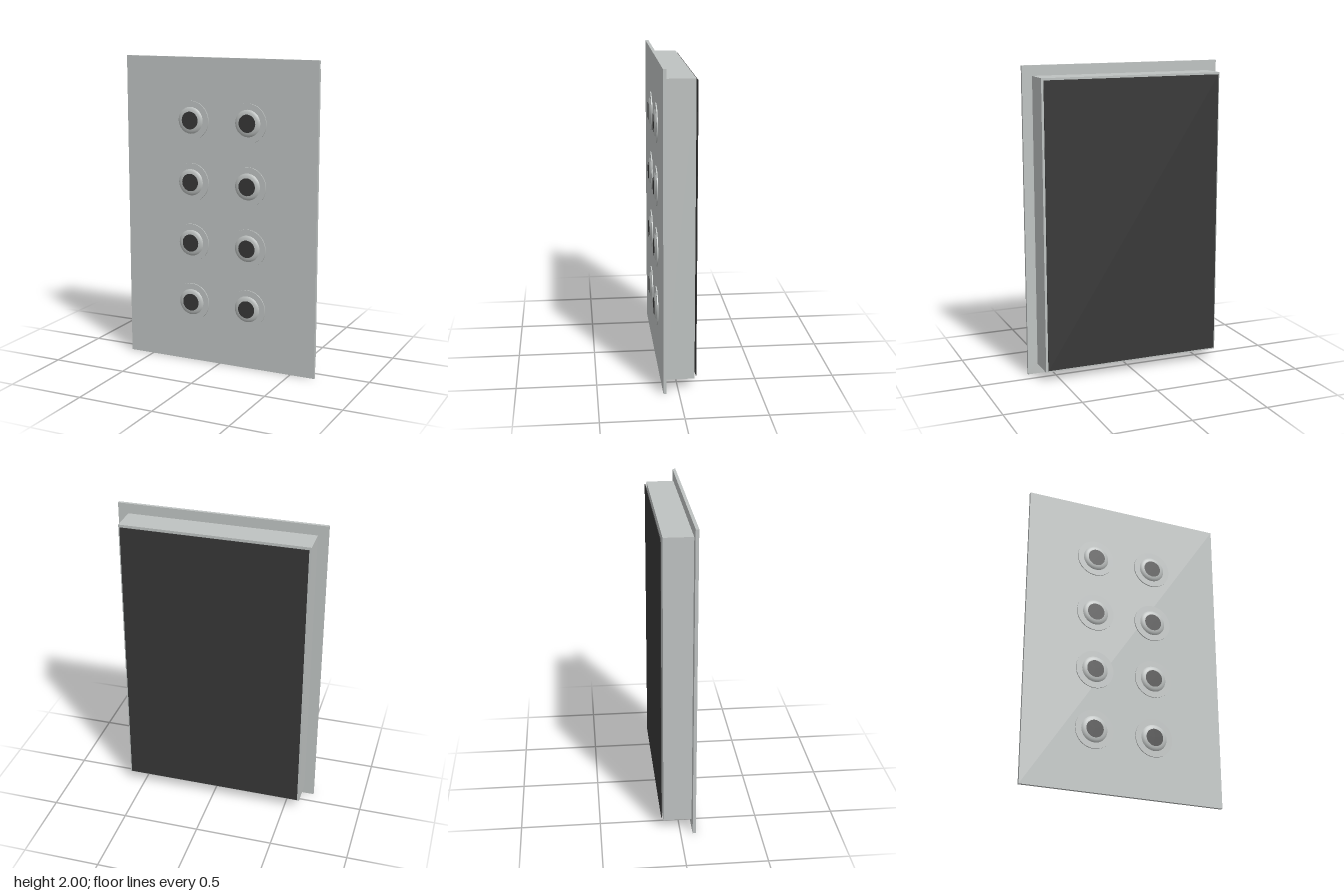
import * as THREE from 'three';

export function createModel() {
  const group = new THREE.Group();
  const metal = new THREE.MeshStandardMaterial({ color: 0xbec2c1 });
  metal.name = 'brushed grey';
  const dark = new THREE.MeshStandardMaterial({ color: 0x373737 });
  dark.name = 'charcoal';

  function add(parent, name, geometry, material, x, y, z) {
    const mesh = new THREE.Mesh(geometry, material);
    mesh.name = name;
    mesh.position.set(x, y, z);
    parent.add(mesh);
    return mesh;
  }

  // Wall plate, housing behind it and the separate back cover
  add(group, 'facePlate', new THREE.BoxGeometry(1.33, 2, 0.02), metal, 0, 1, 0.086);
  add(group, 'housing', new THREE.BoxGeometry(1.2, 1.87, 0.179), metal, 0, 1, -0.0135);
  add(group, 'backCover', new THREE.BoxGeometry(1.176, 1.844, 0.004), dark, 0, 1, -0.114);

  // Button parts, turned around z
  const flange = new THREE.CylinderGeometry(0.125, 0.125, 0.008, 48).rotateX(Math.PI / 2);
  const bezel = new THREE.LatheGeometry([
    new THREE.Vector2(0.086, 0),
    new THREE.Vector2(0.08, 0.005),
    new THREE.Vector2(0.07, 0.01),
    new THREE.Vector2(0.056, 0.012),
  ], 32).rotateX(Math.PI / 2);
  const cap = new THREE.CircleGeometry(0.057, 32);

  // Two columns of four buttons
  for (const x of [-0.2, 0.2]) {
    for (let row = 0; row < 4; row++) {
      const button = new THREE.Group();
      button.name = 'button';
      button.position.set(x, 0.4 + row * 0.4, 0);
      add(button, 'buttonFlange', flange, metal, 0, 0, 0.099);
      add(button, 'buttonBezel', bezel, metal, 0, 0, 0.103);
      add(button, 'buttonCap', cap, dark, 0, 0, 0.1155);
      group.add(button);
    }
  }
  return group;
}
